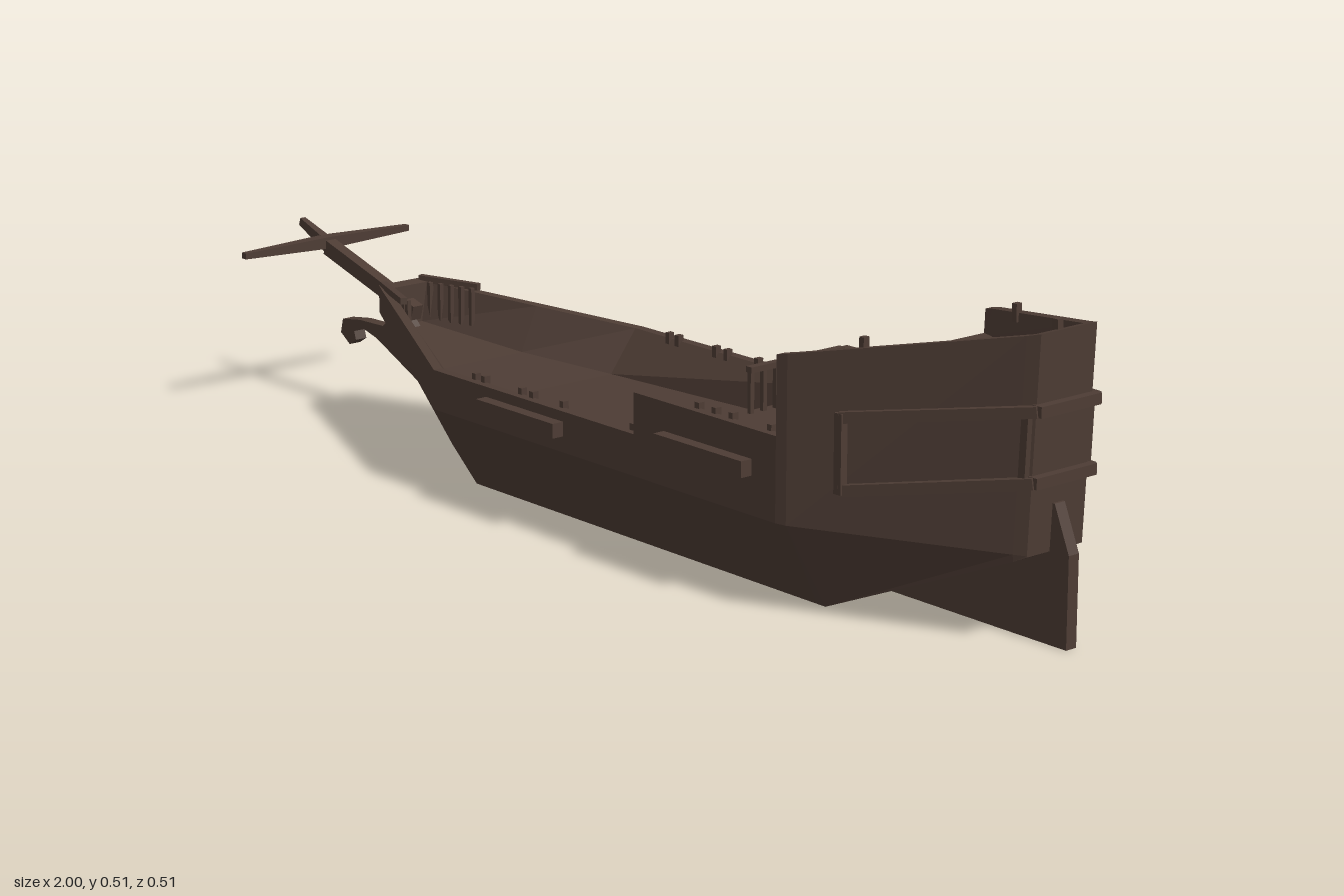
import * as THREE from 'three';

const wood = new THREE.MeshStandardMaterial({ color: 0x4d3c34 });
wood.name = 'darkWood';
wood.flatShading = true;

const V = (x, y, z) => new THREE.Vector3(x, y, z);

function add(parent, name, geometry) {
  const mesh = new THREE.Mesh(geometry, wood);
  mesh.name = name;
  parent.add(mesh);
  return mesh;
}

function box(parent, name, w, h, d, x, y, z) {
  const mesh = add(parent, name, new THREE.BoxGeometry(w, h, d));
  mesh.position.set(x, y, z);
  return mesh;
}

// Square beam between two points, optionally tapered towards b
function beam(parent, name, a, b, w, h, taper = 1) {
  const len = a.distanceTo(b);
  const g = new THREE.BoxGeometry(w, h, len);
  const p = g.attributes.position;
  for (let i = 0; i < p.count; i++) {
    if (p.getZ(i) > 0) p.setXY(i, p.getX(i) * taper, p.getY(i) * taper);
  }
  g.computeVertexNormals();
  const mesh = add(parent, name, g);
  mesh.position.copy(a).add(b).multiplyScalar(0.5);
  mesh.lookAt(b);
  return mesh;
}

// Flat plate cut from a side outline
function plate(parent, name, outline, thickness) {
  const shape = new THREE.Shape(outline.map(([x, y]) => new THREE.Vector2(x, y)));
  const g = new THREE.ExtrudeGeometry(shape, { depth: thickness, bevelEnabled: false });
  g.translate(0, 0, -thickness / 2);
  return add(parent, name, g);
}

// Hull lofted from cross-sections, including bulwarks and stepped decks
function hullGeometry() {
  // x, bottom half width, bottom y, chine half width, chine y, rail y, deck half width, deck y
  const stations = [
    [-0.69, 0.025, 0.195, 0.048, 0.215, 0.265, 0.03, 0.265],
    [-0.665, 0.027, 0.175, 0.06, 0.211, 0.262, 0.04, 0.262],
    [-0.665, 0.027, 0.175, 0.06, 0.211, 0.262, 0.03, 0.19],
    [-0.46, 0.06, 0.016, 0.153, 0.177, 0.24, 0.1, 0.16],
    [-0.28, 0.145, 0, 0.235, 0.15, 0.22, 0.16, 0.145],
    [0.25, 0.145, 0, 0.235, 0.15, 0.22, 0.208, 0.145],
    [0.25, 0.145, 0, 0.235, 0.15, 0.29, 0.21, 0.215],
    [0.59, 0.145, 0, 0.235, 0.15, 0.29, 0.21, 0.215],
    [0.59, 0.145, 0, 0.235, 0.15, 0.42, 0.215, 0.38],
    [0.61, 0.145, 0, 0.231, 0.15, 0.424, 0.21, 0.38],
    [0.94, 0.068, 0.138, 0.07, 0.15, 0.493, 0.05, 0.38],
    [0.94, 0.068, 0.138, 0.07, 0.15, 0.493, 0.05, 0.493],
    [0.96, 0.06, 0.148, 0.06, 0.15, 0.498, 0.04, 0.498],
  ];
  const rings = stations.map(([x, b, yb, c, yc, yt, d, yd]) => {
    const half = [[b, yb], [c, yc], [c, yt], [c - 0.018, yt], [d, yd]];
    const all = [...half, ...half.slice().reverse().map(([z, y]) => [-z, y])];
    // the transom leans slightly aft
    return all.map(([z, y]) => V(x > 0.9 ? x + (y - 0.15) * 0.05 : x, y, z));
  });
  const pts = [];
  const n = rings[0].length;
  for (let i = 0; i < rings.length - 1; i++) {
    for (let j = 0; j < n; j++) {
      const k = (j + 1) % n;
      const A = rings[i][j], B = rings[i][k], C = rings[i + 1][k], D = rings[i + 1][j];
      pts.push(A, D, C, A, C, B);
    }
  }
  const bow = rings[0], stern = rings[rings.length - 1];
  for (let j = 1; j < n - 1; j++) {
    pts.push(bow[0], bow[j], bow[j + 1], stern[0], stern[j + 1], stern[j]);
  }
  const g = new THREE.BufferGeometry().setFromPoints(pts);
  g.computeVertexNormals();
  return g;
}

export function createModel() {
  const ship = new THREE.Group();
  ship.name = 'sailingShipHull';

  add(ship, 'hull', hullGeometry());

  // Stern fin and rudder
  plate(ship, 'rudder', [[0.6, 0], [1, 0], [1, 0.15], [0.968, 0.225], [0.95, 0.225], [0.95, 0.15]], 0.022);

  // Beakhead below the bowsprit
  plate(ship, 'beakhead', [
    [-0.46, 0.017], [-0.66, 0.2], [-0.69, 0.205], [-0.73, 0.175], [-0.8, 0.173], [-0.855, 0.165],
    [-0.862, 0.138], [-0.835, 0.12], [-0.815, 0.132], [-0.82, 0.148], [-0.79, 0.158], [-0.75, 0.148],
  ], 0.024);

  // Bowsprit with its cross yard
  beam(ship, 'bowsprit', V(-0.64, 0.215, 0), V(-0.91, 0.292, 0), 0.022, 0.028);
  beam(ship, 'bowspritTip', V(-0.89, 0.286, 0), V(-0.997, 0.326, 0), 0.02, 0.026, 0.55);
  for (const s of [-1, 1]) {
    beam(ship, 'bowspritYard', V(-0.918, 0.3, 0), V(-0.918, 0.3, s * 0.187), 0.026, 0.022, 0.5);
  }

  for (const s of [-1, 1]) {
    // Bow rail with balusters
    beam(ship, 'bowRail', V(-0.685, 0.266, s * 0.042), V(-0.565, 0.264, s * 0.085), 0.012, 0.012);
    for (let i = 0; i < 5; i++) {
      const t = i / 4;
      box(ship, 'bowBaluster', 0.008, 0.07, 0.008, -0.655 + 0.085 * t, 0.228, s * (0.042 + 0.03 * t));
    }

    // Shroud channels outside the hull
    box(ship, 'foreChannel', 0.205, 0.025, 0.025, -0.032, 0.19, s * 0.2445);
    box(ship, 'aftChannel', 0.21, 0.027, 0.025, 0.43, 0.228, s * 0.2445);

    // Pins along the bulwarks
    for (const x of [-0.185, -0.16, -0.06, -0.03, 0.05, 0.23]) {
      box(ship, 'mainPin', 0.01, 0.05, 0.012, x, 0.206, s * 0.216);
    }
    for (const x of [0.39, 0.43, 0.47, 0.56]) {
      box(ship, 'quarterPin', 0.01, 0.06, 0.012, x, 0.27, s * 0.216);
    }
    box(ship, 'sternPin', 0.01, 0.03, 0.012, 0.71, 0.445, s * 0.165);

    // Framed panel on each side of the stern castle
    beam(ship, 'lowerBelt', V(0.69, 0.219, s * 0.192), V(0.972, 0.268, s * 0.06), 0.022, 0.018);
    beam(ship, 'upperBelt', V(0.69, 0.335, s * 0.192), V(0.977, 0.38, s * 0.06), 0.022, 0.018);
    beam(ship, 'panelPost', V(0.693, 0.213, s * 0.19), V(0.693, 0.342, s * 0.19), 0.016, 0.024);
    beam(ship, 'cornerPost', V(0.955, 0.27, s * 0.066), V(0.96, 0.38, s * 0.066), 0.012, 0.014);
  }

  // Belts across the transom
  box(ship, 'lowerSternBelt', 0.02, 0.018, 0.13, 0.971, 0.268, 0);
  box(ship, 'upperSternBelt', 0.02, 0.018, 0.13, 0.977, 0.38, 0);
  box(ship, 'sternTopPin', 0.012, 0.03, 0.012, 0.958, 0.495, 0.005);

  // Quarterdeck railing
  box(ship, 'quarterdeckRail', 0.014, 0.01, 0.21, 0.265, 0.29, -0.105);
  for (let i = 0; i < 8; i++) {
    box(ship, 'quarterdeckBaluster', 0.008, 0.078, 0.008, 0.265, 0.25, -0.005 - i * 0.028);
  }
  return ship;
}
